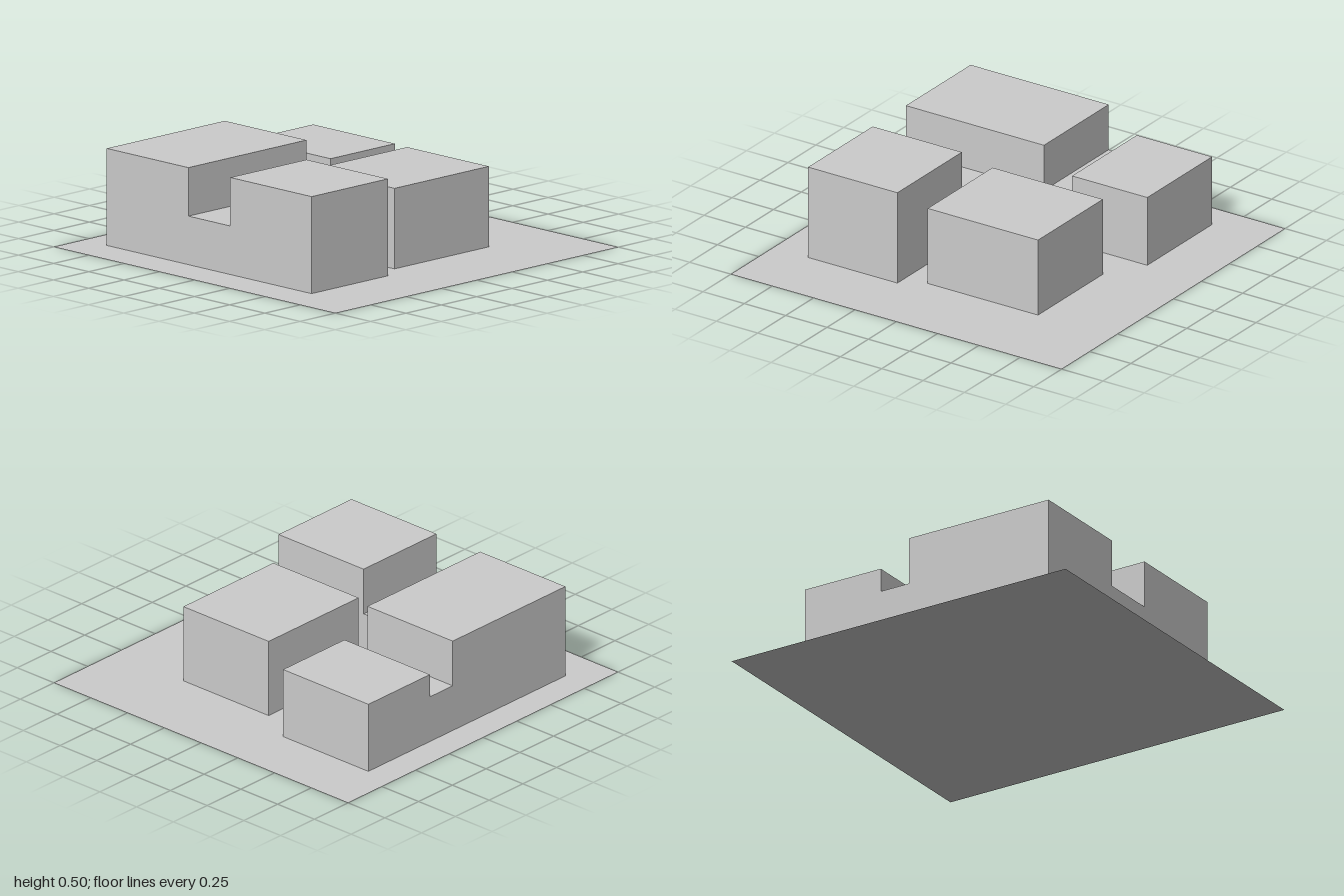
import * as THREE from 'three';

// name, x range, z range, height of each block standing on the ground
const BLOCKS = [
  ['frontRightBlock', -0.835, -0.255, -0.045, 0.79, 0.5],
  ['frontLeftBlock', 0.042, 0.62, 0.25, 0.79, 0.5],
  ['frontLink', -0.255, 0.042, 0.25, 0.79, 0.25],
  ['backRightBlock', -0.835, -0.255, -0.67, -0.215, 0.375],
  ['sideLink', -0.835, -0.255, -0.215, -0.045, 0.25],
  ['detachedBlock', -0.042, 0.538, -0.545, 0.122, 0.415],
];

export function createModel() {
  const model = new THREE.Group();
  model.name = 'buildingMassing';
  const material = new THREE.MeshStandardMaterial({ color: 0xcccccc });

  // Thin square site plate
  const ground = new THREE.Mesh(
    new THREE.PlaneGeometry(2, 2).rotateX(-Math.PI / 2),
    new THREE.MeshStandardMaterial({ color: 0xcccccc, side: THREE.DoubleSide })
  );
  ground.name = 'ground';
  model.add(ground);

  // Building volumes and the low links joining them
  for (const [name, x0, x1, z0, z1, height] of BLOCKS) {
    const block = new THREE.Mesh(new THREE.BoxGeometry(x1 - x0, height, z1 - z0), material);
    block.position.set((x0 + x1) / 2, height / 2, (z0 + z1) / 2);
    block.name = name;
    model.add(block);
  }
  return model;
}
